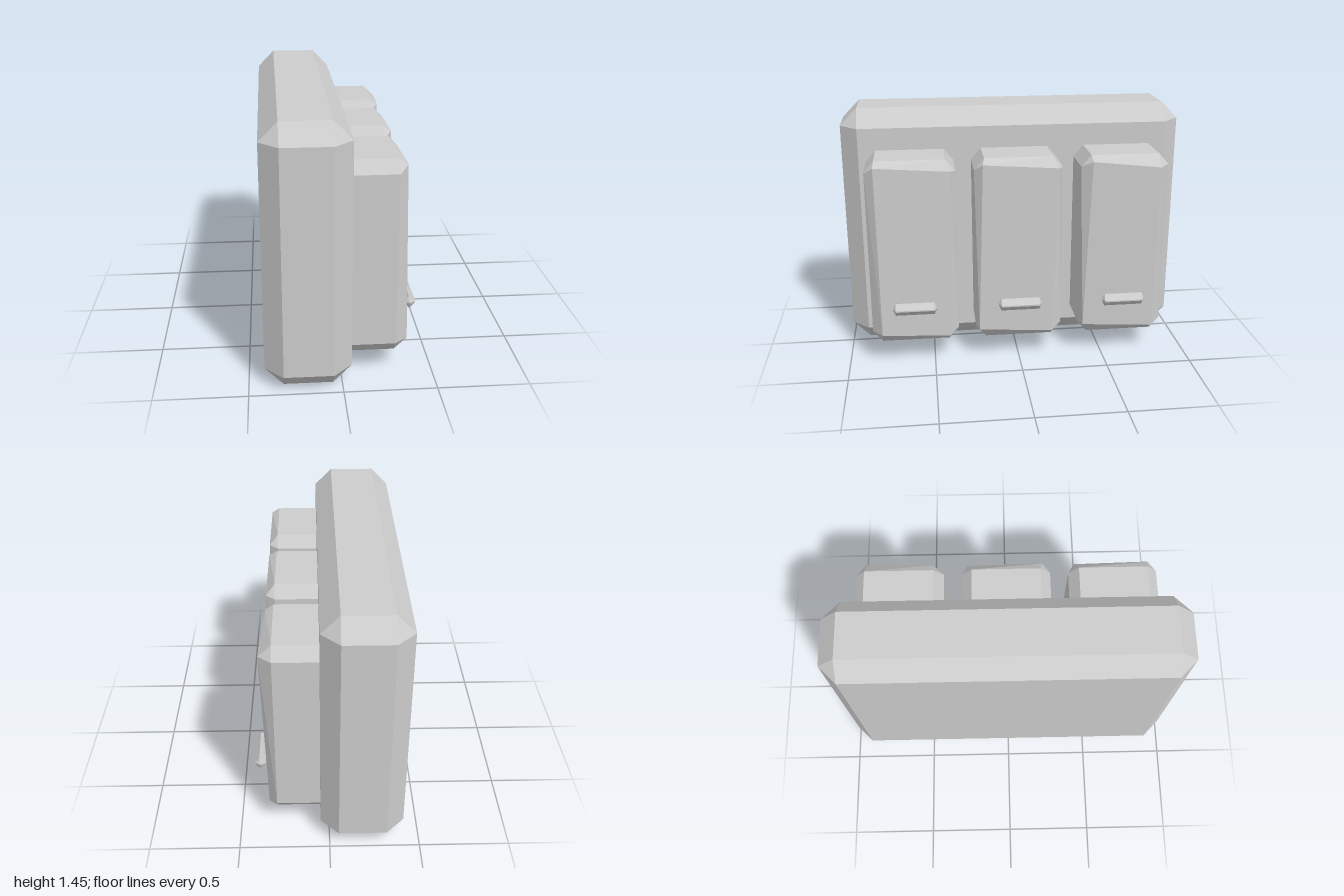
import * as THREE from 'three';
import { ConvexGeometry } from 'three/addons/geometries/ConvexGeometry.js';

const V = (x, y, z) => new THREE.Vector3(x, y, z);
const SIGNS = [-1, 1];

// Box with every edge and corner cut off; half sizes h, cut widths c per axis
function chamferedBox(h, c) {
  const points = [];
  for (const sx of SIGNS) for (const sy of SIGNS) for (const sz of SIGNS) {
    points.push(
      V(sx * h[0], sy * (h[1] - c[1]), sz * (h[2] - c[2])),
      V(sx * (h[0] - c[0]), sy * h[1], sz * (h[2] - c[2])),
      V(sx * (h[0] - c[0]), sy * (h[1] - c[1]), sz * h[2]));
  }
  return new ConvexGeometry(points);
}

// Chamfered door slab with a slightly uneven outer face, given by its four corners
function doorGeometry(corners) {
  const points = corners.map((p) => V(...p));
  for (const x of [0, 0.29]) for (const sz of SIGNS) {
    points.push(
      V(x, 1.223, sz * 0.195), V(x, 1.157, sz * 0.252),
      V(x, 0.13, sz * 0.195), V(x, 0.197, sz * 0.252));
  }
  return new ConvexGeometry(points);
}

export function createModel() {
  const grey = new THREE.MeshStandardMaterial({ color: 0xcccccc });
  grey.name = 'light grey';
  const model = new THREE.Group();
  model.name = 'wallCabinet';

  const add = (geometry, name, x, y, z) => {
    const mesh = new THREE.Mesh(geometry, grey);
    mesh.name = name;
    mesh.position.set(x, y, z);
    model.add(mesh);
  };

  // Thick back body
  add(chamferedBox([0.2325, 0.7265, 1], [0.1, 0.102, 0.1]), 'body', -0.1825, 0.7265, 0);

  // Three doors, each outer face listed as top left, top right, bottom right, bottom left
  const doors = [
    { z: 0.607, face: [[0.335, 1.193, 0.2], [0.34, 1.165, -0.217], [0.335, 0.165, -0.2], [0.36, 0.197, 0.193]] },
    { z: 0, face: [[0.335, 1.193, 0.205], [0.34, 1.165, -0.222], [0.335, 0.165, -0.195], [0.342, 0.197, 0.235]] },
    { z: -0.607, face: [[0.335, 1.193, 0.19], [0.36, 1.157, -0.195], [0.335, 0.165, -0.195], [0.342, 0.197, 0.228]] },
  ];
  const handle = chamferedBox([0.031, 0.035, 0.125], [0.027, 0.031, 0.014]);
  for (const { z, face } of doors) {
    add(doorGeometry(face), 'door', 0, 0, z);
    add(handle, 'handle', 0.383, 0.37, z);
  }
  return model;
}
